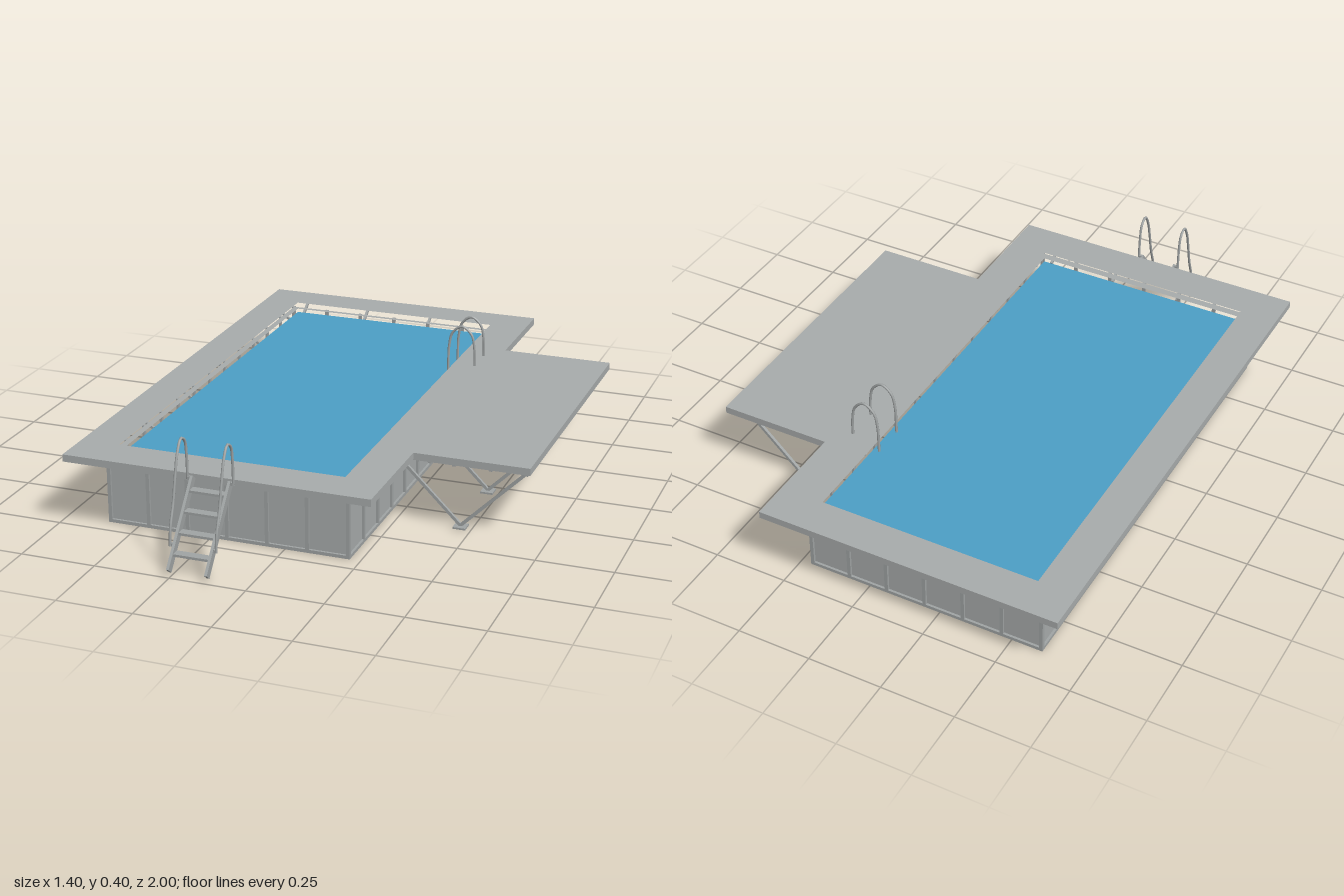
import * as THREE from 'three';

const mat = (name, color, side = THREE.FrontSide) => {
  const m = new THREE.MeshStandardMaterial({ color, side });
  m.name = name;
  return m;
};

export function createModel() {
  const root = new THREE.Group();
  root.name = 'raisedPool';
  const stone = mat('deckGrey', 0xa8acac);
  const steel = mat('frameGrey', 0xa0a4a4);
  const waterBlue = mat('waterBlue', 0x4c9fc6);
  const floorBlue = mat('floorBlue', 0x336a9c);

  const add = (name, geo, material, parent = root) => {
    const m = new THREE.Mesh(geo, material);
    m.name = name;
    parent.add(m);
    return m;
  };
  const group = (name) => {
    const g = new THREE.Group();
    g.name = name;
    root.add(g);
    return g;
  };
  // Box given by its minimum and maximum corners
  const box = (name, [x0, y0, z0], [x1, y1, z1], material, parent) => {
    const m = add(name, new THREE.BoxGeometry(x1 - x0, y1 - y0, z1 - z0), material, parent);
    m.position.set((x0 + x1) / 2, (y0 + y1) / 2, (z0 + z1) / 2);
    return m;
  };
  // Square bar from a to b
  const bar = (name, a, b, w, h, parent) => {
    const p = new THREE.Vector3(...a), q = new THREE.Vector3(...b);
    const m = add(name, new THREE.BoxGeometry(w, h, p.distanceTo(q)), steel, parent);
    m.position.copy(p).add(q).multiplyScalar(0.5);
    m.lookAt(q);
    return m;
  };
  // Horizontal slab from an x/z outline with a rectangular hole
  const slab = (name, outline, hole, y0, y1, material) => {
    const pts = (list) => list.map(([x, z]) => new THREE.Vector2(x, -z));
    const shape = new THREE.Shape(pts(outline));
    shape.holes.push(new THREE.Path(pts(hole)));
    const geo = new THREE.ExtrudeGeometry(shape, { depth: y1 - y0, bevelEnabled: false });
    geo.rotateX(-Math.PI / 2).translate(0, y0, 0);
    return add(name, geo, material);
  };
  const rect = (x0, z0, x1, z1) => [[x0, z0], [x1, z0], [x1, z1], [x0, z1]];
  const rail = (name, points, parent) => {
    const curve = new THREE.CatmullRomCurve3(points.map((p) => new THREE.Vector3(...p)));
    return add(name, new THREE.TubeGeometry(curve, 40, 0.0045, 8), steel, parent);
  };

  // Deck and pool walls
  const opening = rect(-0.575, -0.87, 0.188, 0.655);
  const X0 = -0.605, X1 = 0.215, Z0 = -0.895, Z1 = 0.69, D = 0.008;
  slab('deck', [[-0.705, -1], [0.32, -1], [0.32, -0.62], [0.7, -0.62],
    [0.7, 0.4], [0.32, 0.4], [0.32, 0.79], [-0.705, 0.79]], opening, 0.233, 0.257, stone);
  slab('poolWalls', rect(X0 + D, Z0 + D, X1 - D, Z1 - D), opening, 0.004, 0.233, stone);
  box('water', [-0.575, 0.212, -0.87], [0.188, 0.22, 0.655], waterBlue);
  box('poolFloor', [X0 + D, 0, Z0 + D], [X1 - D, 0.004, Z1 - D], floorBlue);

  // Ribs and bottom rails on all four walls
  const frame = group('wallFrame');
  const R = 0.012;
  for (let i = 0; i <= 6; i++) {
    const x = X0 + (X1 - X0 - R) * i / 6;
    box('rib', [x, 0, Z1 - D], [x + R, 0.233, Z1], steel, frame);
    box('rib', [x, 0, Z0], [x + R, 0.233, Z0 + D], steel, frame);
  }
  for (let i = 0; i <= 12; i++) {
    const z = Z0 + (Z1 - Z0 - R) * i / 12;
    box('rib', [X0, 0, z], [X0 + D, 0.233, z + R], steel, frame);
    box('rib', [X1 - D, 0, z], [X1, 0.233, z + R], steel, frame);
  }
  box('bottomRail', [X0, 0, Z1 - D], [X1, 0.011, Z1], steel, frame);
  box('bottomRail', [X0, 0, Z0], [X1, 0.011, Z0 + D], steel, frame);
  box('bottomRail', [X0, 0, Z0], [X0 + D, 0.011, Z1], steel, frame);
  box('bottomRail', [X1 - D, 0, Z0], [X1, 0.011, Z1], steel, frame);

  // Diagonal brackets under the deck overhang
  const brackets = group('deckBrackets');
  for (const x of [-0.565, -0.32, -0.07, 0.175]) {
    bar('bracket', [x, 0.195, Z1 - 0.003], [x, 0.233, Z1 + 0.055], 0.009, 0.009, brackets);
    bar('bracket', [x, 0.195, Z0 + 0.003], [x, 0.233, Z0 - 0.055], 0.009, 0.009, brackets);
  }
  for (let i = 0; i < 6; i++) {
    const z = 0.65 - 0.3 * i;
    bar('bracket', [X0 + 0.003, 0.195, z], [X0 - 0.055, 0.233, z], 0.009, 0.009, brackets);
    bar('bracket', [X1 - 0.003, 0.195, z], [X1 + 0.055, 0.233, z], 0.009, 0.009, brackets);
  }

  // V-shaped supports and joists below the side platform
  const supports = group('platformSupports');
  for (const z of [0.35, 0.05, -0.25, -0.55]) {
    box('crossBeam', [0.22, 0.224, z - 0.006], [0.692, 0.233, z + 0.006], steel, supports);
    bar('strut', [0.245, 0.226, z], [0.464, 0.01, z], 0.01, 0.01, supports);
    bar('strut', [0.683, 0.226, z], [0.464, 0.01, z], 0.01, 0.01, supports);
    box('footPlate', [0.443, 0.003, z - 0.021], [0.485, 0.009, z + 0.021], steel, supports);
  }
  for (const x of [0.33, 0.45, 0.57, 0.685]) {
    box('joist', [x - 0.005, 0.225, -0.61], [x + 0.005, 0.233, 0.39], steel, supports);
  }

  // Outer ladder with treads and handrails
  const ladder = group('outerLadder');
  for (const [x, railX] of [[-0.255, -0.269], [-0.13, -0.117]]) {
    bar('stringer', [x, 0.018, 0.99], [x, 0.25, 0.798], 0.009, 0.026, ladder);
    rail('handrail', [[railX, 0.08, 0.945], [railX, 0.14, 0.938], [railX, 0.21, 0.913],
      [railX, 0.29, 0.893], [railX, 0.355, 0.873], [railX, 0.392, 0.846],
      [railX, 0.375, 0.818], [railX, 0.32, 0.808], [railX, 0.245, 0.806]], ladder);
    for (const [y, z] of [[0.085, 0.942], [0.25, 0.806]]) {
      box('railClamp', [Math.min(x, railX), y - 0.005, z - 0.005],
        [Math.max(x, railX), y + 0.005, z + 0.005], steel, ladder);
    }
  }
  for (let i = 0; i < 4; i++) {
    const y = 0.06 + 0.0525 * i, z = 0.95 - 0.0425 * i;
    box('tread', [-0.255, y - 0.004, z - 0.015], [-0.13, y + 0.004, z + 0.015], steel, ladder);
  }

  // Arched grab rails at the pool edge
  const grab = group('grabRails');
  for (const z of [-0.54, -0.43]) {
    rail('grabRail', [[0.168, 0.17, z], [0.168, 0.25, z], [0.17, 0.32, z], [0.182, 0.37, z],
      [0.216, 0.395, z], [0.25, 0.37, z], [0.262, 0.32, z], [0.264, 0.25, z]], grab);
  }
  return root;
}
